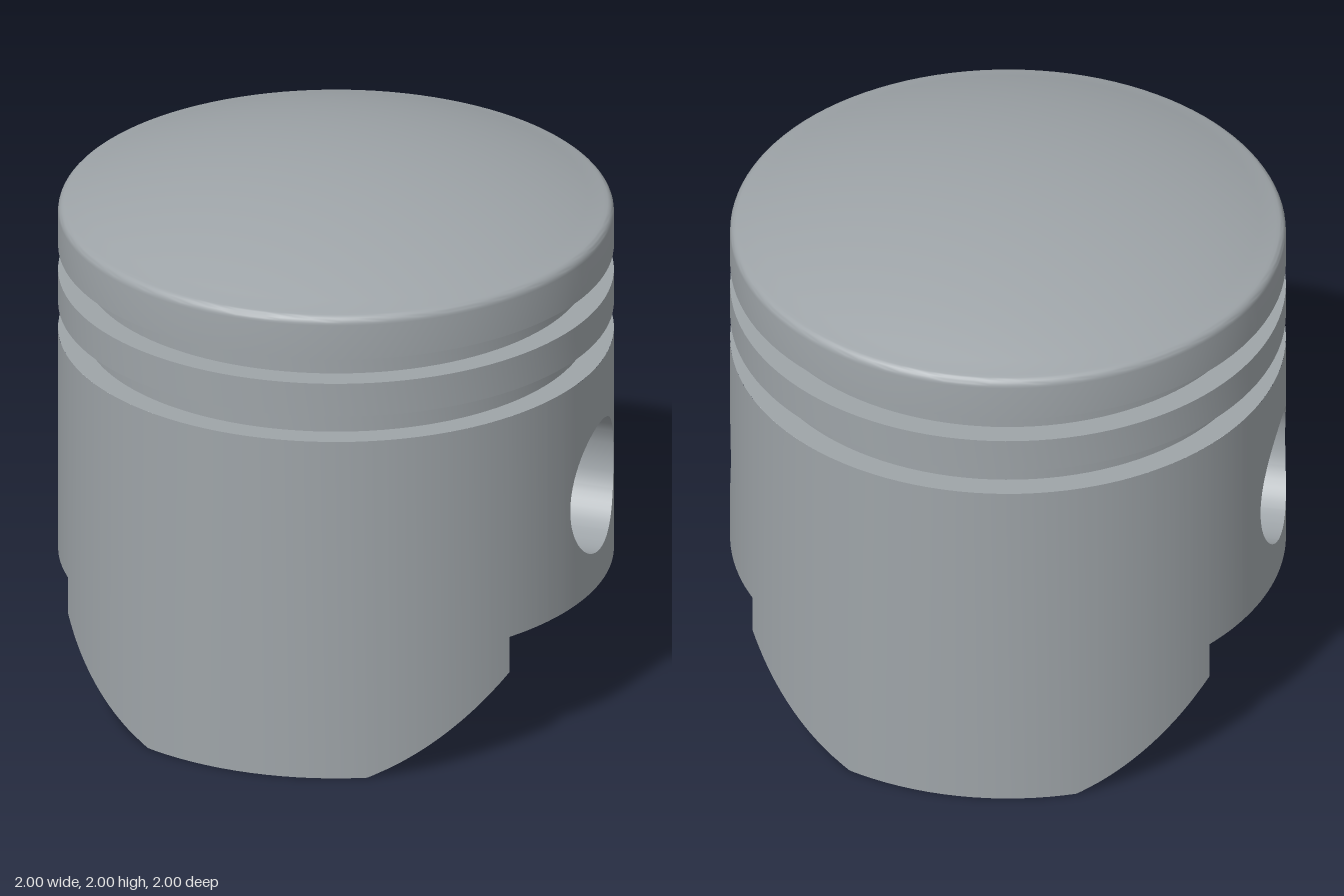
import * as THREE from 'three';
import { toCreasedNormals } from 'three/addons/utils/BufferGeometryUtils.js';

const R_OUT = 1, R_IN = 0.87;            // wall radii
const PIN_Y = 0.845, PIN_R = 0.25;       // pin bore
const BOSS_R = 0.38, BOSS_X = 0.39;      // pin boss radius and inner face
const CUT_Y = 0.46, CUT_Z = 0.55, STEP_Y = 0.32, TOE_Z = 0.91;
const DECK_Y = 1.33, CEILING_Y = 1.6;

const chord = (r, z) => Math.sqrt(Math.max(0, r * r - z * z));

// Shared z stations, evenly spaced by angle on each of the three radii
const stations = [];
for (const [r, n] of [[R_OUT, 28], [R_IN, 28], [PIN_R, 14]])
  for (let i = 0; i <= n; i++) stations.push(r * Math.sin((i / n) * Math.PI / 2));
stations.sort((a, b) => a - b);
function range(z0, z1) {
  const list = [z0];
  for (const z of stations)
    if (z > list[list.length - 1] + 5e-4 && z < z1 - 5e-4) list.push(z);
  return [...list, z1];
}

// Collects quads for one quarter and mirrors them into all four
function quarterBuilder() {
  const pos = [];
  const tri = (a, b, c) => {
    for (const sx of [1, -1]) for (const sz of [1, -1])
      for (const p of sx * sz > 0 ? [a, b, c] : [a, c, b])
        pos.push(p[0] * sx, p[1], p[2] * sz);
  };
  const area = (a, b, c) => new THREE.Triangle(
    new THREE.Vector3(...a), new THREE.Vector3(...b), new THREE.Vector3(...c)).getArea();
  const quad = (a, b, c, d) => {
    if (area(a, b, c) > 1e-9) tri(a, b, c);
    if (area(a, c, d) > 1e-9) tri(a, c, d);
  };
  return {
    quad,
    // Ribbon between two curves that depend on z
    strip(z0, z1, P, Q) {
      const zs = range(z0, z1);
      for (let i = 0; i + 1 < zs.length; i++)
        quad(P(zs[i]), Q(zs[i]), Q(zs[i + 1]), P(zs[i + 1]));
    },
    geometry() {
      const g = new THREE.BufferGeometry();
      g.setAttribute('position', new THREE.Float32BufferAttribute(pos, 3));
      return toCreasedNormals(g, 0.5);
    },
  };
}

// Height of the skirt's lower edge in each zone
const flatCut = () => CUT_Y;
const slopeCut = (z) => STEP_Y * (TOE_Z - z) / (TOE_Z - CUT_Z);
const toe = () => 0;
const boreLow = (z) => PIN_Y - chord(PIN_R, z);
const boreHigh = (z) => PIN_Y + chord(PIN_R, z);

function wallGeometry(r, top, inward) {
  const b = quarterBuilder();
  const at = (h) => (z) => [chord(r, z), h(z), z];
  const part = (z0, z1, lo, hi) =>
    inward ? b.strip(z0, z1, at(hi), at(lo)) : b.strip(z0, z1, at(lo), at(hi));
  const up = () => top;
  part(0, PIN_R, flatCut, boreLow);
  part(0, PIN_R, boreHigh, up);
  part(PIN_R, CUT_Z, flatCut, up);
  part(CUT_Z, Math.min(TOE_Z, r), slopeCut, up);
  if (r > TOE_Z) part(TOE_Z, r, toe, up);
  return b.geometry();
}

function rimGeometry() {
  const b = quarterBuilder();
  const at = (r, h) => (z) => [chord(r, z), h(z), z];
  for (const [z0, z1, h] of [[0, CUT_Z, flatCut], [CUT_Z, TOE_Z, slopeCut], [TOE_Z, R_OUT, toe]])
    b.strip(z0, z1, at(R_IN, h), at(R_OUT, h));
  // Upright step at the side cutouts
  const xi = chord(R_IN, CUT_Z), xo = chord(R_OUT, CUT_Z);
  b.quad([xi, STEP_Y, CUT_Z], [xi, CUT_Y, CUT_Z], [xo, CUT_Y, CUT_Z], [xo, STEP_Y, CUT_Z]);
  return b.geometry();
}

function boreGeometry() {
  const b = quarterBuilder();
  const inner = (h) => (z) => [BOSS_X, h(z), z];
  const outer = (h) => (z) => [chord(R_OUT, z), h(z), z];
  b.strip(0, PIN_R, outer(boreLow), inner(boreLow));
  b.strip(0, PIN_R, inner(boreHigh), outer(boreHigh));
  return b.geometry();
}

function lathe(points, segments) {
  const g = new THREE.LatheGeometry(points.map(([x, y]) => new THREE.Vector2(x, y)), segments);
  return toCreasedNormals(g, 0.5);
}

function crownGeometry() {
  const pts = [[1, DECK_Y], [0.91, DECK_Y], [0.91, 1.43], [1, 1.43],
    [1, 1.56], [0.91, 1.56], [0.91, 1.655], [1, 1.655]];
  // Rounded shoulder, then the shallow dome
  const f = 0.035;
  for (let i = 0; i <= 6; i++) {
    const a = (i / 6) * 1.2;
    pts.push([1 - f + f * Math.cos(a), 1.79 + f * Math.sin(a)]);
  }
  const R = 2.76, edge = Math.asin(0.965 / R);
  for (let i = 0; i <= 16; i++) {
    const a = edge * (1 - i / 16);
    pts.push([R * Math.sin(a), 2 - R + R * Math.cos(a)]);
  }
  return lathe(pts, 112);
}

function bossGeometry() {
  const pts = [[PIN_R, BOSS_X]], f = 0.04;
  for (let i = 0; i <= 5; i++) {
    const a = (i / 5) * Math.PI / 2;
    pts.push([BOSS_R - f + f * Math.sin(a), BOSS_X + f - f * Math.cos(a)]);
  }
  pts.push([BOSS_R, 0.88]);
  return lathe(pts, 56);
}

export function createModel() {
  const group = new THREE.Group();
  group.name = 'piston';
  const steel = new THREE.MeshStandardMaterial({ color: 0x9ea4a8 });
  steel.name = 'steel grey';
  const add = (name, geometry) => {
    const mesh = new THREE.Mesh(geometry, steel);
    mesh.name = name;
    group.add(mesh);
    return mesh;
  };

  add('crown', crownGeometry());
  add('skirtOuterWall', wallGeometry(R_OUT, DECK_Y, false));
  add('skirtInnerWall', wallGeometry(R_IN, CEILING_Y, true));
  add('skirtRim', rimGeometry());
  add('pinBores', boreGeometry());

  const ceiling = add('crownUnderside', new THREE.CircleGeometry(R_IN, 112));
  ceiling.rotation.x = Math.PI / 2;
  ceiling.position.y = CEILING_Y;

  // Pin bosses on both sides
  for (const side of [1, -1]) {
    const boss = add(side > 0 ? 'leftPinBoss' : 'rightPinBoss', bossGeometry());
    boss.rotation.z = -side * Math.PI / 2;
    boss.position.y = PIN_Y;
  }
  return group;
}
